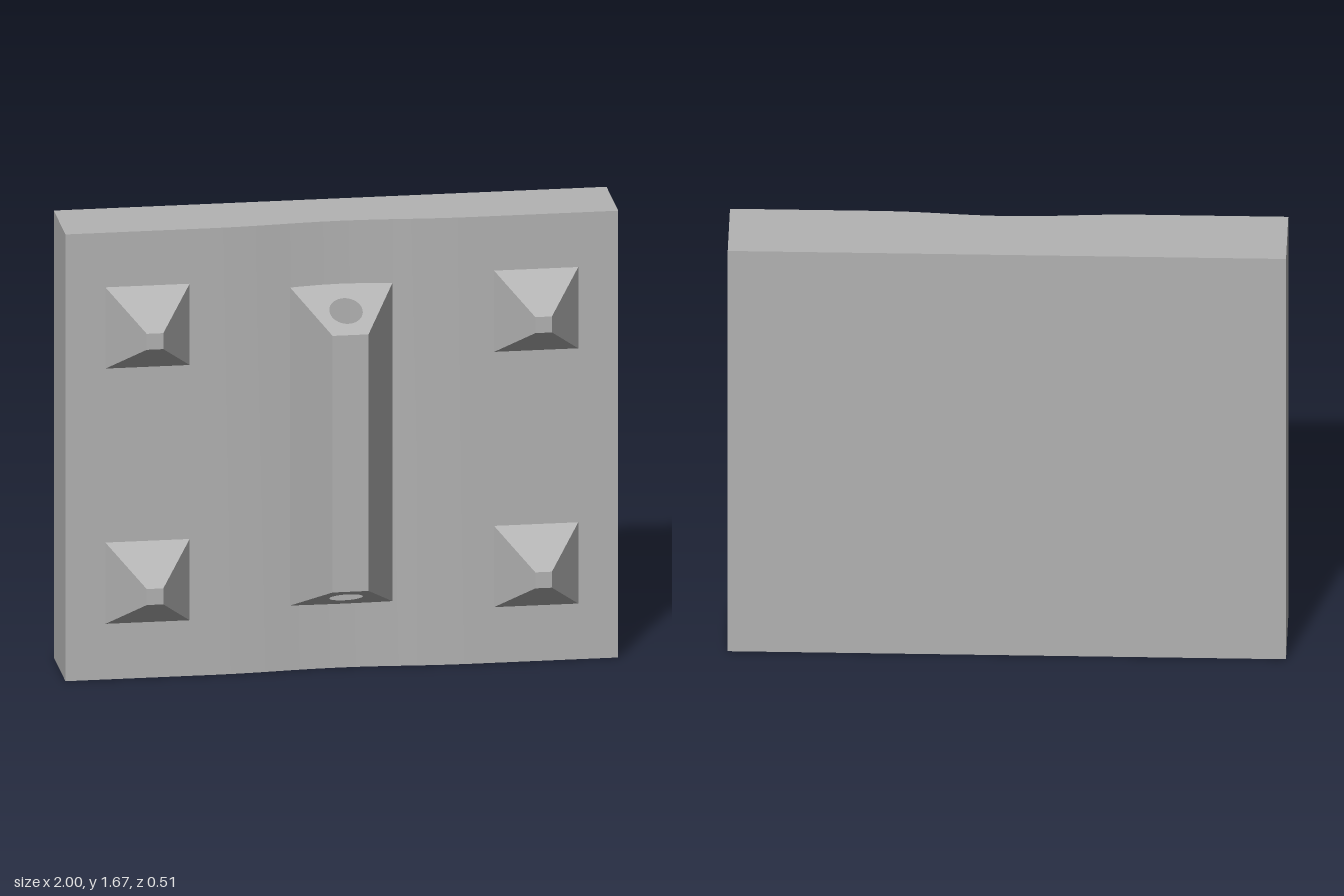
import * as THREE from 'three';
import { toCreasedNormals } from 'three/addons/utils/BufferGeometryUtils.js';

// Extrude an outline given as [x, z] points upward along y, from 0 to height
function extrudeUp(points, height, hole) {
  const shape = new THREE.Shape(points.map(([x, z]) => new THREE.Vector2(x, -z)));
  if (hole) {
    const path = new THREE.Path();
    path.absarc(0, -hole.z, hole.radius, 0, Math.PI * 2, true);
    shape.holes.push(path);
  }
  const geometry = new THREE.ExtrudeGeometry(shape, { depth: height, bevelEnabled: false, curveSegments: 20 });
  return geometry.rotateX(-Math.PI / 2);
}

export function createModel() {
  const group = new THREE.Group();
  const grey = new THREE.MeshStandardMaterial({ color: 0xb3b3b3 });
  grey.name = 'grey';

  const add = (name, geometry) => {
    const mesh = new THREE.Mesh(geometry, grey);
    mesh.name = name;
    group.add(mesh);
    return mesh;
  };

  // Plate with a shallow hollow down the middle of its front
  const back = -0.255, front = 0.037, hollow = 0.023, half = 0.46;
  const outline = [[-1, back], [1, back], [1, front]];
  for (let i = 0; i <= 12; i++) {
    const t = 1 - i / 6;
    outline.push([t * half, front - hollow * (1 + Math.cos(t * Math.PI)) / 2]);
  }
  outline.push([-1, front]);
  add('plate', toCreasedNormals(extrudeUp(outline, 1.675), 0.4));

  // Central ridge: trapezoid section, sloping ends, bore running along it
  const baseZ = 0.012, topZ = 0.255;
  const ridge = extrudeUp(
    [[-0.19, baseZ], [0.19, baseZ], [0.065, topZ], [-0.065, topZ]], 1, { z: 0.142, radius: 0.06 });
  const p = ridge.attributes.position;
  for (let i = 0; i < p.count; i++) {
    const inset = 0.12 * (p.getZ(i) - baseZ) / (topZ - baseZ);
    p.setY(i, p.getY(i) > 0.5 ? 1.44 - inset : 0.238 + inset);
  }
  add('boredRidge', toCreasedNormals(ridge, 0.5));

  // Four truncated pyramid studs
  const height = 0.188;
  const stud = new THREE.CylinderGeometry(0.03 * Math.SQRT2, 0.153 * Math.SQRT2, height, 4)
    .rotateY(Math.PI / 4).rotateX(Math.PI / 2);
  const studGeometry = toCreasedNormals(stud, 0.3);
  for (const x of [-0.703, 0.703]) {
    for (const y of [0.361, 1.318]) {
      add('stud', studGeometry).position.set(x, y, front + height / 2 - 0.001);
    }
  }
  return group;
}
